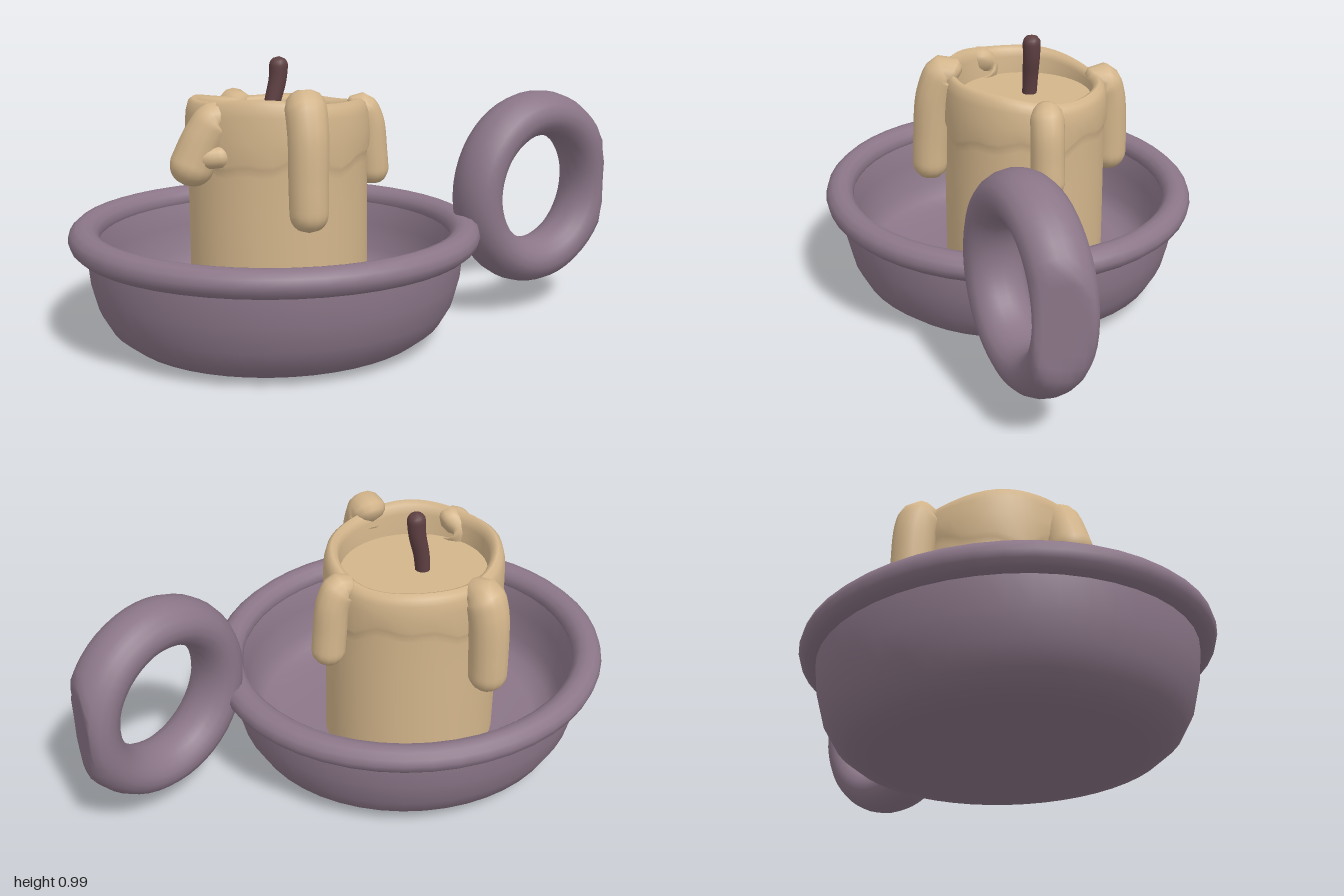
import * as THREE from 'three';
import { mergeVertices } from 'three/addons/utils/BufferGeometryUtils.js';

const mat = (name, color) => {
  const m = new THREE.MeshStandardMaterial({ color });
  m.name = name;
  return m;
};

// Move every vertex by a rule, weld seams and smooth the normals
function reshape(geometry, rule) {
  const pos = geometry.attributes.position, v = new THREE.Vector3();
  for (let i = 0; i < pos.count; i++) {
    rule(v.fromBufferAttribute(pos, i), i);
    pos.setXYZ(i, v.x, v.y, v.z);
  }
  geometry.deleteAttribute('uv');
  geometry.deleteAttribute('normal');
  const welded = mergeVertices(geometry, 1e-4);
  welded.computeVertexNormals();
  return welded;
}

const lathe = (profile, segments) =>
  new THREE.LatheGeometry(profile.map(([x, y]) => new THREE.Vector2(x, y)), segments);

// Round-ended strand whose radius runs from r0 to r1 along a curve
function strand(points, r0, r1) {
  const curve = new THREE.CatmullRomCurve3(points.map(p => new THREE.Vector3(...p)));
  const segs = 36, sides = 14, len = curve.getLength();
  const geo = new THREE.TubeGeometry(curve, segs, 1, sides);
  return reshape(geo, (v, i) => {
    const u = Math.floor(i / (sides + 1)) / segs;
    const c = curve.getPointAt(u);
    const r = THREE.MathUtils.lerp(r0, r1, u);
    const d = Math.min(u, 1 - u) * len;
    const cap = d < r ? Math.sqrt(Math.max(0, 1 - ((r - d) / r) ** 2)) : 1;
    v.sub(c).multiplyScalar(r * cap).add(c);
  });
}

export function createModel() {
  const model = new THREE.Group();
  const metal = mat('dusty purple', 0x8b7688);
  const wax = mat('cream wax', 0xd3b58b);
  const char = mat('burnt wick', 0x5f4042);
  const add = (name, geo, material, x = 0, y = 0, z = 0) => {
    const mesh = new THREE.Mesh(geo, material);
    mesh.name = name;
    mesh.position.set(x, y, z);
    model.add(mesh);
  };

  // Dish: rounded bowl, slightly oval and tilted towards the top
  const bowl = lathe([
    [0, 0.004], [0.3, 0.004], [0.47, 0.01], [0.54, 0.027], [0.595, 0.07], [0.635, 0.14],
    [0.658, 0.23], [0.67, 0.36], [0.65, 0.4], [0.625, 0.37], [0.612, 0.28],
    [0.592, 0.18], [0.555, 0.125], [0.49, 0.1], [0.3, 0.095], [0, 0.095]], 48);
  const tilt = v => {
    v.y += (v.y / 0.38) * (-0.015 * v.x + 0.01 * v.z);
    v.z *= 0.95;
  };
  add('dish', reshape(bowl, tilt), metal, -0.27);

  // Rolled rim
  const rim = new THREE.TorusGeometry(0.674, 0.054, 12, 48).rotateX(-Math.PI / 2);
  add('dishRim', reshape(rim, v => {
    v.y = v.y * 0.9 + 0.378;
    tilt(v);
  }), metal, -0.27);

  // Ring handle, turned a little to the back, its outer side worn flat
  const ring = new THREE.TorusGeometry(0.279, 0.083, 18, 48);
  const turn = new THREE.Vector3(0, 1, 0);
  add('ringHandle', reshape(ring, v => {
    v.x *= 0.97;
    v.z *= 1.25;
    v.applyAxisAngle(turn, 0.33);
    v.x = Math.min(v.x, 0.29);
  }), metal, 0.71, 0.479, 0.015);

  // Candle: hollow top, sloping lip and a faint wavy skirt of run wax
  const candle = lathe([
    [0.32, 0.09], [0.32, 0.3], [0.319, 0.5], [0.318, 0.63], [0.32, 0.66], [0.328, 0.675],
    [0.327, 0.74], [0.323, 0.8], [0.313, 0.832], [0.296, 0.845], [0.278, 0.835],
    [0.268, 0.81], [0.264, 0.74]], 48);
  add('candle', reshape(candle, v => {
    const a = Math.atan2(v.z, v.x), r = Math.hypot(v.x, v.z);
    const lip = THREE.MathUtils.smoothstep(v.y, 0.74, 0.84);
    if (r > 0.3 && v.y > 0.6 && v.y < 0.7) v.y += 0.02 * Math.sin(a * 5) + 0.015 * Math.sin(a * 9 + 1);
    v.y += lip * (-0.05 * v.x + 0.1 * v.z + 0.006 * Math.sin(a * 4));
    v.z *= 0.935;
  }), wax, -0.248, 0, -0.06);

  // Pool of wax inside the lip
  const pool = new THREE.CircleGeometry(0.268, 40).rotateX(-Math.PI / 2).scale(1, 1, 0.935);
  add('waxPool', pool, wax, -0.248, 0.757, -0.06);

  // Wax drips running down the outside
  const drips = [
    ['frontDrip', [[-0.22, 0.83, 0.19], [-0.22, 0.86, 0.23], [-0.22, 0.78, 0.27],
      [-0.225, 0.6, 0.29], [-0.225, 0.445, 0.297]], 0.073, 0.066],
    ['leftDrip', [[0.04, 0.77, -0.11], [0.07, 0.79, -0.11], [0.1, 0.74, -0.11],
      [0.115, 0.62, -0.11], [0.125, 0.5, -0.113]], 0.06, 0.06],
    ['backDrip', [[-0.33, 0.75, -0.32], [-0.34, 0.775, -0.355], [-0.35, 0.72, -0.38],
      [-0.355, 0.55, -0.395], [-0.355, 0.41, -0.398]], 0.075, 0.068],
    ['rightDrip', [[-0.455, 0.8, 0.095], [-0.49, 0.81, 0.09], [-0.535, 0.75, 0.085],
      [-0.575, 0.66, 0.08], [-0.605, 0.585, 0.08]], 0.066, 0.08],
    ['rightDripBranch', [[-0.57, 0.69, 0.1], [-0.52, 0.685, 0.125], [-0.455, 0.69, 0.14]], 0.042, 0.036],
  ];
  for (const [name, points, r0, r1] of drips) add(name, strand(points, r0, r1), wax);

  // Wick
  add('wick', strand([[-0.275, 0.72, -0.08], [-0.262, 0.82, -0.083], [-0.24, 0.91, -0.085],
    [-0.234, 0.99, -0.085]], 0.026, 0.034), char);

  return model;
}
